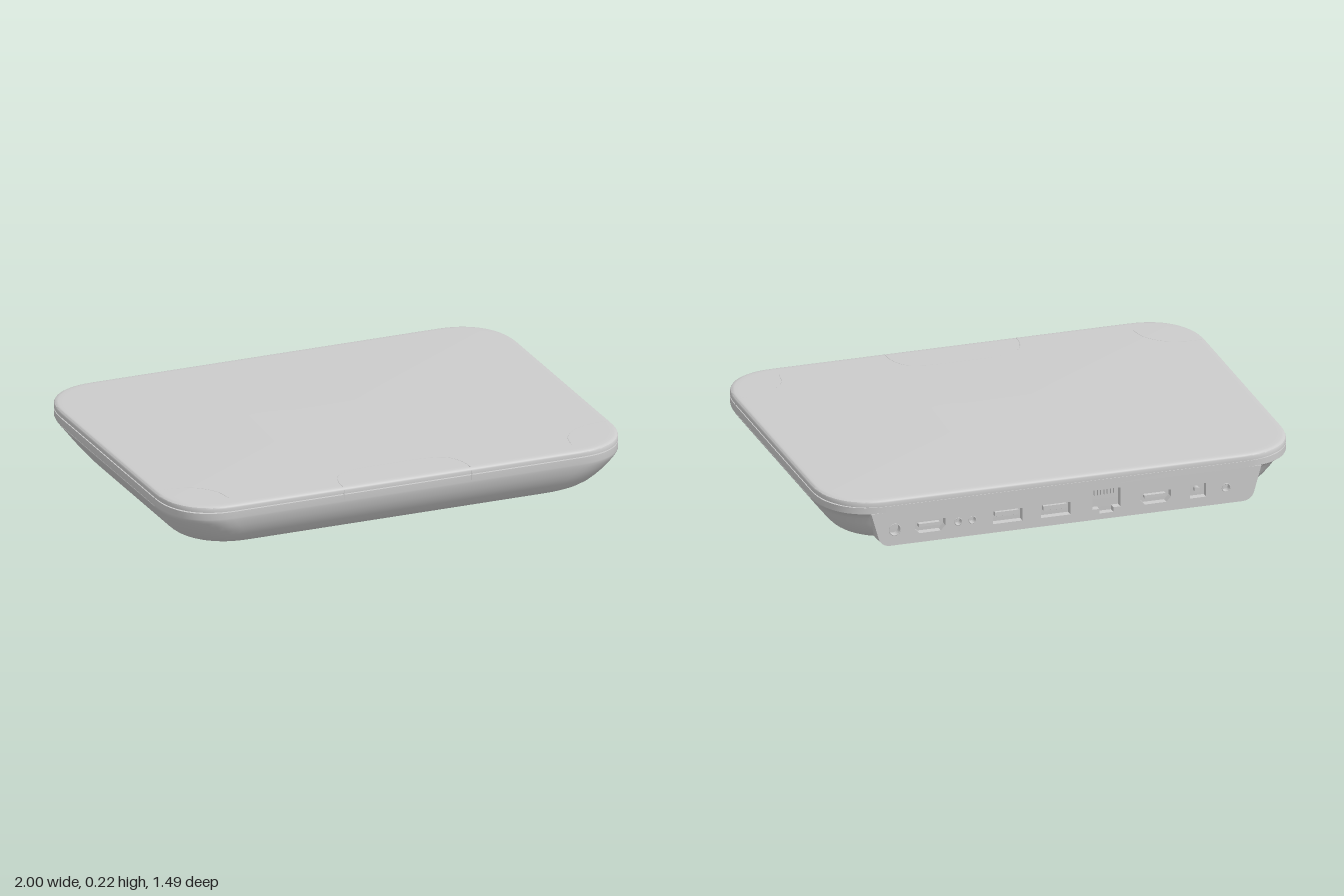
import * as THREE from 'three';
import { toCreasedNormals } from 'three/addons/utils/BufferGeometryUtils.js';

const grey = new THREE.MeshStandardMaterial({ color: 0xcccccc });

function add(parent, name, geometry, x = 0, y = 0, z = 0) {
  const mesh = new THREE.Mesh(geometry, grey);
  mesh.name = name;
  mesh.position.set(x, y, z);
  parent.add(mesh);
  return mesh;
}

// Rounded rectangle outline with soft, superelliptic corners
function outline({ w, front, back, cx = 0.24, cz = 0.26 }) {
  const points = [];
  const steps = 14, power = 2 / 2.3;
  for (const [sx, sz, start] of [[1, 1, 0], [-1, 1, 1], [-1, -1, 2], [1, -1, 3]]) {
    for (let i = 0; i <= steps; i++) {
      const a = (start + i / steps) * Math.PI / 2;
      const c = Math.abs(Math.cos(a)) ** power, s = Math.abs(Math.sin(a)) ** power;
      points.push([sx * (w - cx + cx * c), (sz > 0 ? front - cz : back + cz) + sz * cz * s]);
    }
  }
  return points;
}

// Closed skin through a stack of outlines, bottom to top
function loft(rings) {
  const positions = [], index = [];
  let n = 0;
  for (const ring of rings) {
    const points = outline(ring);
    n = points.length;
    for (const [x, z] of points) positions.push(x, ring.y, z);
  }
  for (let r = 0; r < rings.length - 1; r++) {
    for (let i = 0; i < n; i++) {
      const a = r * n + i, b = r * n + (i + 1) % n;
      index.push(a, a + n, b, b, a + n, b + n);
    }
  }
  const last = rings.length - 1, c = positions.length / 3;
  positions.push(0, rings[0].y, (rings[0].front + rings[0].back) / 2);
  positions.push(0, rings[last].y, (rings[last].front + rings[last].back) / 2);
  for (let i = 0; i < n; i++) {
    const j = (i + 1) % n;
    index.push(c, i, j, c + 1, last * n + j, last * n + i);
  }
  const g = new THREE.BufferGeometry();
  g.setAttribute('position', new THREE.Float32BufferAttribute(positions, 3));
  g.setIndex(index);
  return toCreasedNormals(g, 0.6);
}

// Thin seam line along a path
function seam(parent, name, points, radius = 0.002) {
  const curve = new THREE.CatmullRomCurve3(points.map(p => new THREE.Vector3(...p)), false, 'centripetal');
  return add(parent, name, new THREE.TubeGeometry(curve, 40, radius, 5));
}

function polygon(points, Type) {
  return new Type(points.map(([x, y]) => new THREE.Vector2(x, y)));
}

function rectangle(x, y, w, h) {
  return [[x - w / 2, y - h / 2], [x + w / 2, y - h / 2], [x + w / 2, y + h / 2], [x - w / 2, y + h / 2]];
}

// Wide socket with its lower corners cut off
function taperedSocket(x, y, w, h) {
  return [[x - w * 0.35, y - h / 2], [x + w * 0.35, y - h / 2], [x + w / 2, y - h * 0.1],
    [x + w / 2, y + h / 2], [x - w / 2, y + h / 2], [x - w / 2, y - h * 0.1]];
}

export function createModel() {
  const model = new THREE.Group();
  model.name = 'portableComputer';

  // Bowl-shaped lower case: height, side inset, front inset, back inset
  const profile = [
    [0, 0.145, 0.19, 0.18], [0.004, 0.125, 0.15, 0.14], [0.015, 0.113, 0.115, 0.105],
    [0.03, 0.1, 0.085, 0.085], [0.05, 0.083, 0.058, 0.07], [0.075, 0.063, 0.037, 0.058],
    [0.1, 0.043, 0.021, 0.051], [0.125, 0.024, 0.01, 0.047], [0.145, 0.009, 0.004, 0.038],
    [0.158, 0.001, 0.001, 0.012], [0.165, 0, 0, 0], [0.192, 0, 0, 0],
    [0.1921, 0.01, 0.01, 0.002], [0.199, 0.01, 0.01, 0.002]];
  add(model, 'lowerCase', loft(profile.map(([y, side, front, back]) =>
    ({ y, w: 1 - side, front: 0.742 - front, back: -0.742 + back }))));

  // Lid with a softly rounded upper edge
  const lid = [[0.197, 0], [0.21, 0], [0.216, 0.002], [0.22, 0.007], [0.2215, 0.014], [0.222, 0.03]];
  add(model, 'lid', loft(lid.map(([y, inset]) =>
    ({ y, w: 1 - inset, front: 0.742 - inset, back: -0.742 + inset }))));

  // Port housing standing out of the back of the case
  const housing = [[0.008, 0.74, -0.63], [0.014, 0.765, -0.69], [0.022, 0.78, -0.71],
    [0.1, 0.81, -0.713], [0.165, 0.84, -0.713]];
  add(model, 'portHousing', loft(housing.map(([y, w, back]) =>
    ({ y, w, back, front: -0.42, cx: 0.05, cz: 0.05 }))));

  // Back panel with an opening for every port
  const panel = new THREE.Shape();
  panel.moveTo(-0.75, 0.02);
  panel.lineTo(0.75, 0.02);
  panel.quadraticCurveTo(0.79, 0.022, 0.8, 0.06);
  panel.lineTo(0.83, 0.166);
  panel.lineTo(-0.83, 0.166);
  panel.lineTo(-0.8, 0.06);
  panel.quadraticCurveTo(-0.79, 0.022, -0.75, 0.02);
  const ports = new THREE.Group();
  ports.name = 'ports';
  model.add(ports);

  for (const [x, r] of [[0.73, 0.024], [0.46, 0.015], [0.4, 0.015], [-0.68, 0.017]]) {
    const hole = new THREE.Path();
    hole.absarc(x, 0.088, r, 0, Math.PI * 2, true);
    panel.holes.push(hole);
    add(ports, 'roundSocketRim', new THREE.TorusGeometry(r, 0.002, 6, 24), x, 0.088, -0.742);
  }
  for (const x of [0.58, -0.38]) {
    panel.holes.push(polygon(taperedSocket(x, 0.085, 0.13, 0.052), THREE.Path));
    add(ports, 'videoSocketTongue', new THREE.BoxGeometry(0.09, 0.012, 0.022), x, 0.088, -0.721);
  }
  for (const x of [0.25, 0.045]) {
    panel.holes.push(polygon(rectangle(x, 0.085, 0.125, 0.055), THREE.Path));
    add(ports, 'dataSocketTongue', new THREE.BoxGeometry(0.1, 0.018, 0.022), x, 0.094, -0.721);
    for (let i = -1.5; i <= 1.5; i++) {
      add(ports, 'dataSocketContact', new THREE.BoxGeometry(0.012, 0.004, 0.018), x + i * 0.024, 0.083, -0.721);
    }
  }
  // Network socket: wide body with a stepped clip notch
  const nx = -0.17;
  panel.holes.push(polygon([[nx - 0.06, 0.065], [nx - 0.03, 0.065], [nx - 0.03, 0.045], [nx + 0.03, 0.045],
    [nx + 0.03, 0.065], [nx + 0.06, 0.065], [nx + 0.06, 0.148], [nx - 0.06, 0.148]], THREE.Path));
  for (let i = -3; i <= 3; i++) {
    add(ports, 'networkContact', new THREE.BoxGeometry(0.006, 0.03, 0.015), nx + i * 0.014, 0.132, -0.718);
  }
  // Power socket with a centre pin
  panel.holes.push(polygon(rectangle(-0.56, 0.09, 0.07, 0.06), THREE.Path));
  const pin = add(ports, 'powerPin', new THREE.CylinderGeometry(0.012, 0.012, 0.024, 16), -0.56, 0.09, -0.722);
  pin.rotation.x = Math.PI / 2;
  add(model, 'backPanel',
    new THREE.ExtrudeGeometry(panel, { depth: 0.03, bevelEnabled: false, curveSegments: 16 }), 0, 0, -0.742);

  // Side rails, corner seams and front latch edges, mirrored
  for (const s of [1, -1]) {
    seam(model, 'sideRailEdge', [[s * 0.998, 0.158, 0.48], [s * 0.998, 0.158, 0], [s * 0.998, 0.158, -0.48]], 0.003);
    seam(model, 'sideRailEnd', [[s * 0.998, 0.158, 0.48], [s * 0.998, 0.212, 0.48]]);
    seam(model, 'cornerSeam', [[s * 0.985, 0.221, 0.475], [s * 0.91, 0.221, 0.48], [s * 0.83, 0.221, 0.51],
      [s * 0.77, 0.221, 0.58], [s * 0.752, 0.221, 0.66]]);
    seam(model, 'latchSide', [[s * 0.28, 0.17, 0.741], [s * 0.28, 0.212, 0.741]]);
  }
  // Latch outline on the lid
  seam(model, 'latchSeam', [[-0.28, 0.221, 0.73], [-0.275, 0.221, 0.67], [-0.24, 0.221, 0.6],
    [-0.16, 0.221, 0.57], [0, 0.221, 0.565], [0.16, 0.221, 0.57], [0.24, 0.221, 0.6],
    [0.275, 0.221, 0.67], [0.28, 0.221, 0.73]]);

  return model;
}
